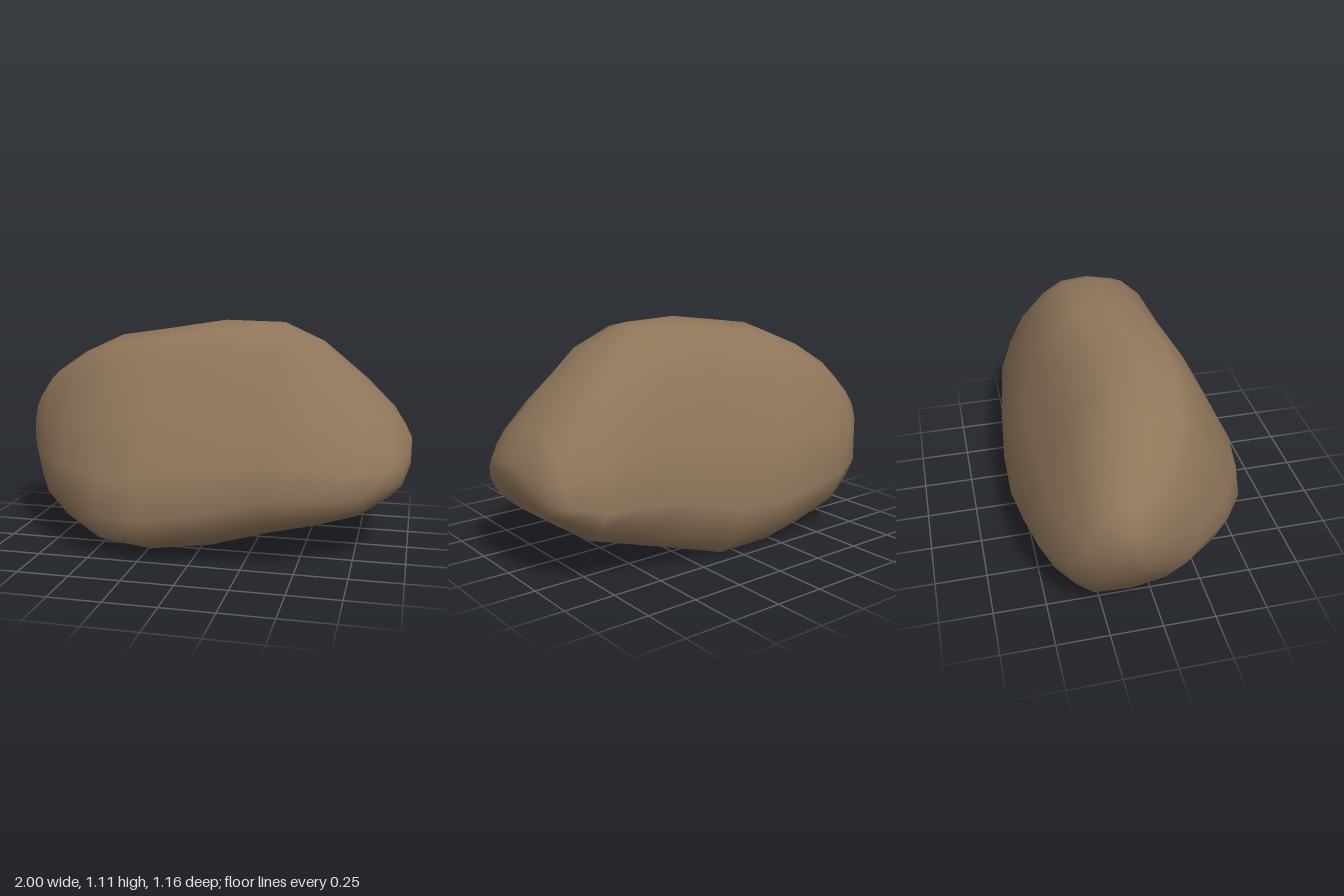
import * as THREE from 'three';

// Cross-section of the boulder: [across, up], from the ridge over the front, base and back
const PROFILE = [
  [0, 1], [0.27, 0.965], [0.44, 0.88], [0.7, 0.62], [0.93, 0.38], [1, 0.2], [0.89, 0.08], [0.62, 0.015],
  [0, 0], [-0.7, 0], [-0.87, 0.09], [-1, 0.26], [-0.82, 0.55], [-0.62, 0.8], [-0.44, 0.92], [-0.26, 0.985],
];

// Stations along x:
// [x, bottom, top, back z, front z, ridge lean, roundness, lift of the front base, dip of the back shoulder]
const STATIONS = [
  [-1, 0.42, 0.6, -0.2, -0.09, 0, 1, 0, 0],
  [-0.95, 0.31, 0.69, -0.34, 0.03, 0.03, 0.8, 0, 0],
  [-0.84, 0.11, 0.82, -0.44, 0.21, 0.05, 0.5, 0.03, 0],
  [-0.66, 0.045, 0.935, -0.52, 0.41, 0.05, 0.25, 0.04, 0],
  [-0.45, 0.02, 1.03, -0.555, 0.535, 0.04, 0.08, -0.01, 0.03],
  [-0.22, 0, 1.065, -0.58, 0.585, 0.025, 0, 0.01, 0.08],
  [0.07, 0, 1.11, -0.575, 0.545, -0.01, 0, 0.06, 0.08],
  [0.35, 0.085, 1.105, -0.545, 0.52, -0.02, 0, 0.05, 0],
  [0.55, 0.14, 1.015, -0.52, 0.5, -0.02, 0.05, 0.03, 0],
  [0.77, 0.2, 0.83, -0.495, 0.42, -0.01, 0.18, 0.01, 0],
  [0.91, 0.29, 0.69, -0.425, 0.32, 0, 0.35, 0, 0],
  [0.965, 0.33, 0.6, -0.38, 0.22, 0, 0.55, 0, 0],
  [1, 0.42, 0.54, -0.21, 0.08, 0, 1, 0, 0],
];

function boulderGeometry() {
  const n = PROFILE.length;
  const positions = [];
  const index = [];

  // Rings, blending from the profile to an ellipse towards the ends
  for (const [x, bottom, top, back, front, lean, round, lift, dip] of STATIONS) {
    PROFILE.forEach(([s, v], j) => {
      const a = (j / n) * Math.PI * 2;
      const across = THREE.MathUtils.lerp(s, Math.sin(a), round);
      const up = THREE.MathUtils.lerp(v, 0.5 + 0.5 * Math.cos(a), round);
      const z = (front + back) / 2 + (across * (front - back)) / 2 + lean * up * up;
      const y = bottom + up * (top - bottom)
        + lift * Math.max(0, across) * (1 - up)
        - dip * Math.max(0, -across) * up;
      positions.push(x, y, z);
    });
  }
  for (let i = 0; i < STATIONS.length - 1; i++) {
    for (let j = 0; j < n; j++) {
      const k = (j + 1) % n;
      const a = i * n + j, b = i * n + k, c = a + n, d = b + n;
      index.push(a, b, c, b, d, c);
    }
  }

  // Small closing caps at both ends
  const last = STATIONS.length - 1;
  for (const i of [0, last]) {
    const [x, bottom, top, back, front] = STATIONS[i];
    const centre = positions.length / 3;
    positions.push(x, (bottom + top) / 2, (back + front) / 2);
    for (let j = 0; j < n; j++) {
      const a = i * n + j, b = i * n + ((j + 1) % n);
      if (i === last) index.push(centre, a, b);
      else index.push(centre, b, a);
    }
  }

  const geometry = new THREE.BufferGeometry();
  geometry.setAttribute('position', new THREE.Float32BufferAttribute(positions, 3));
  geometry.setIndex(index);
  geometry.computeVertexNormals();
  return geometry;
}

export function createModel() {
  const group = new THREE.Group();
  group.name = 'rock';
  const stone = new THREE.MeshStandardMaterial({ color: 0x8f755a });
  stone.name = 'brown stone';
  const boulder = new THREE.Mesh(boulderGeometry(), stone);
  boulder.name = 'boulder';
  group.add(boulder);
  return group;
}
